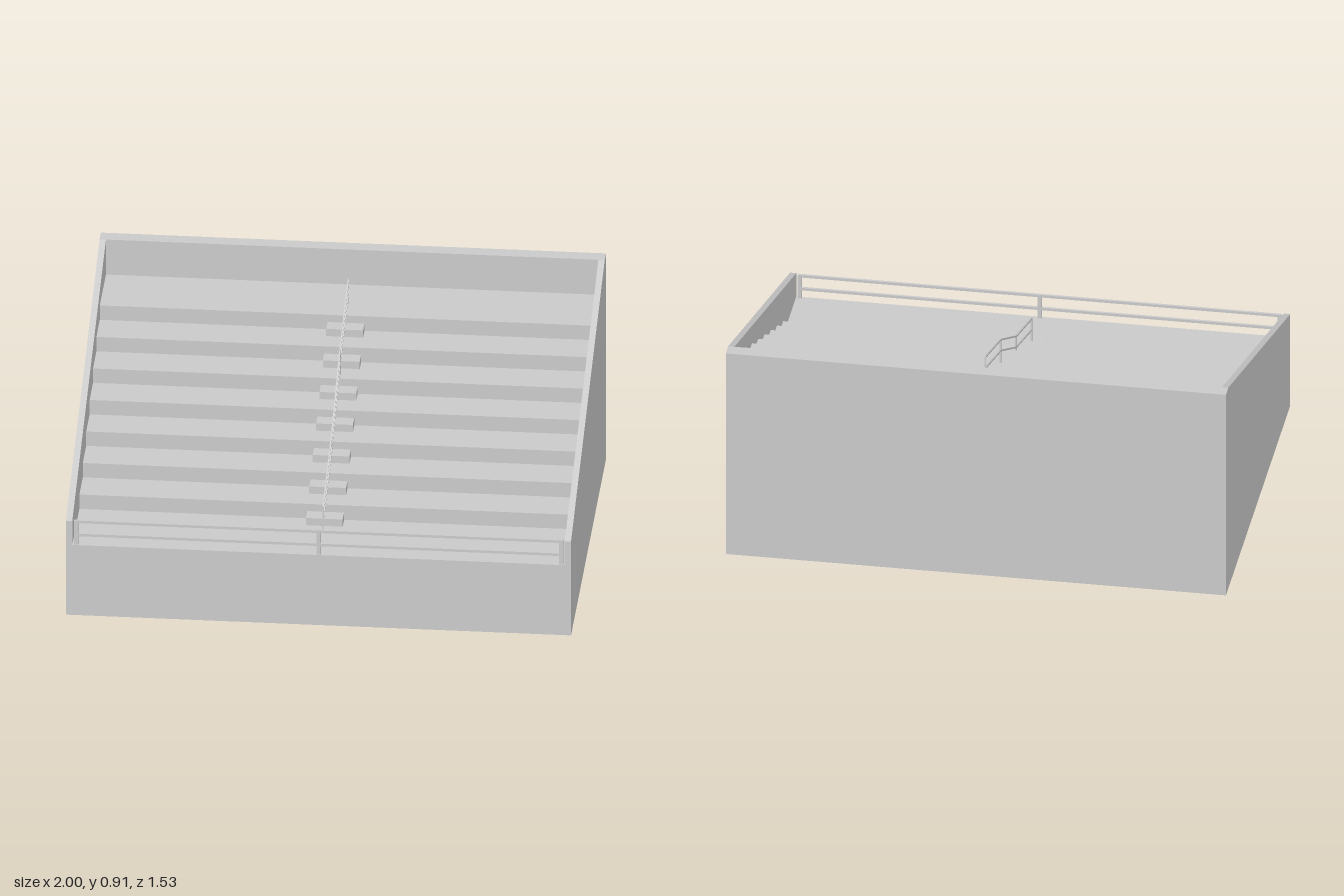
import * as THREE from 'three';

const FRONT = 0.766, BACK = -0.768, INNER_BACK = -0.71;
const WALL = 0.025, WALL_TOP = 0.91;
const STEPS = 7, BASE = 0.31, RISE = 0.0636, FIRST_RISER = 0.453, RUN = 0.149;

const riserZ = (i) => FIRST_RISER - i * RUN;
// height of the terrace surface at a given depth
const treadY = (z) => BASE + RISE * Math.max(0, Math.min(STEPS, Math.ceil((FIRST_RISER - z) / RUN)));

export function createModel() {
  const group = new THREE.Group();
  const mat = new THREE.MeshStandardMaterial({ color: 0xcccccc, flatShading: true });

  const add = (name, geometry, parent = group) => {
    const mesh = new THREE.Mesh(geometry, mat);
    mesh.name = name;
    parent.add(mesh);
    return mesh;
  };
  const box = (name, w, h, d, x, y, z, parent) => {
    const mesh = add(name, new THREE.BoxGeometry(w, h, d), parent);
    mesh.position.set(x, y, z);
    return mesh;
  };
  // extrudes a [z, y] outline across x from x0 to x1
  const slab = (name, points, x0, x1) => {
    const shape = new THREE.Shape(points.map(([z, y]) => new THREE.Vector2(z, y)));
    const geo = new THREE.ExtrudeGeometry(shape, { depth: x1 - x0, bevelEnabled: false });
    geo.rotateY(-Math.PI / 2).translate(x1, 0, 0);
    return add(name, geo);
  };

  // terraces and back wall as one stepped profile
  const profile = [[BACK, 0], [FRONT, 0], [FRONT, BASE]];
  for (let i = 0; i < STEPS; i++) {
    profile.push([riserZ(i), BASE + i * RISE], [riserZ(i), BASE + (i + 1) * RISE]);
  }
  profile.push([INNER_BACK, BASE + STEPS * RISE], [INNER_BACK, WALL_TOP], [BACK, WALL_TOP]);
  slab('terraces', profile, -1 + WALL, 1 - WALL);

  // sloping side walls
  const side = [[BACK, 0], [FRONT, 0], [FRONT, 0.416], [INNER_BACK, WALL_TOP], [BACK, WALL_TOP]];
  slab('leftWall', side, 1 - WALL, 1);
  slab('rightWall', side, -1, -1 + WALL);

  // half-height aisle steps in front of each riser
  const aisle = new THREE.Group();
  aisle.name = 'aisleSteps';
  group.add(aisle);
  for (let i = 0; i < STEPS; i++) {
    box('aisleStep', 0.146, RISE / 2, 0.06, 0, BASE + (i + 0.25) * RISE, riserZ(i) + 0.03, aisle);
  }

  // front guard rail
  const guard = new THREE.Group();
  guard.name = 'frontGuardRail';
  group.add(guard);
  for (const x of [-0.96, 0, 0.96]) box('guardPost', 0.016, 0.105, 0.012, x, BASE + 0.0525, 0.757, guard);
  for (const y of [0.411, 0.353]) box('guardBar', 1.93, 0.011, 0.01, 0, y, 0.757, guard);

  // central handrail following the terraces
  const handrail = new THREE.Group();
  handrail.name = 'handrail';
  group.add(handrail);
  const T = 0.006, HEIGHT = 0.11;
  const posts = [0.558, 0.19, -0.177, -0.545].map((z) => ({ z, y: treadY(z) }));
  for (const { z, y } of posts) box('handrailPost', T, HEIGHT, T, 0, y + HEIGHT / 2, z, handrail);
  for (const lift of [HEIGHT - T / 2, HEIGHT * 0.52]) {
    for (let i = 0; i < posts.length - 1; i++) {
      const a = posts[i], b = posts[i + 1];
      const dy = b.y - a.y, dz = a.z - b.z;
      const bar = box('handrailBar', T, T, Math.hypot(dy, dz) + T / 2, 0, (a.y + b.y) / 2 + lift, (a.z + b.z) / 2, handrail);
      bar.rotation.x = Math.atan2(dy, dz);
    }
  }
  return group;
}
